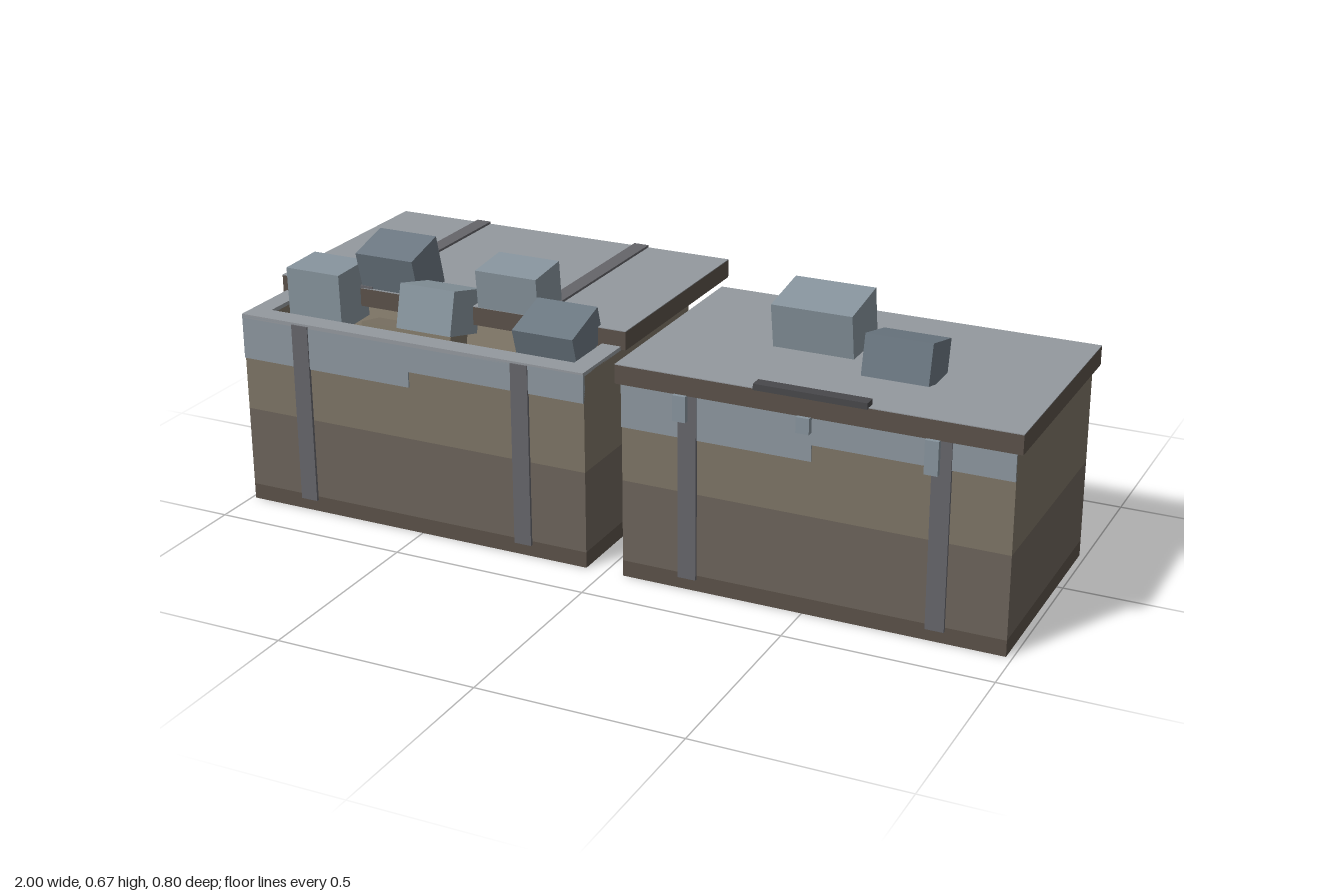
import * as THREE from 'three';

const mat = (color) => new THREE.MeshStandardMaterial({ color });
const M = {
  base: mat(0x5a5148), mid: mat(0x6c635a), tan: mat(0x7d7465), lid: mat(0x5a5149),
  frost: mat(0x94999e), plate: mat(0x8c969e), strap: mat(0x65656a), handle: mat(0x48484b),
  light: mat(0x87949d), dark: mat(0x6c7882),
};

// Box given by its limits on each axis
function box(parent, name, material, [x0, x1], [y0, y1], [z0, z1]) {
  const m = new THREE.Mesh(new THREE.BoxGeometry(x1 - x0, y1 - y0, z1 - z0), material);
  m.name = name;
  m.position.set((x0 + x1) / 2, (y0 + y1) / 2, (z0 + z1) / 2);
  parent.add(m);
  return m;
}

// Loose block tilted about the x axis: x limits, centre y and z, height, depth, tilt
function block(parent, name, material, [x0, x1], y, z, h, d, tilt) {
  const m = box(parent, name, material, [x0, x1], [y - h / 2, y + h / 2], [z - d / 2, z + d / 2]);
  m.rotation.x = tilt;
}

// Four walls around an open top
function walls(parent, name, material, [x0, x1], [z0, z1], t, y0, y1) {
  const rect = (p, a, b, c, d) => p.moveTo(a, c).lineTo(b, c).lineTo(b, d).lineTo(a, d).closePath();
  const shape = rect(new THREE.Shape(), x0, x1, -z1, -z0);
  shape.holes.push(rect(new THREE.Path(), x0 + t, x1 - t, -z1 + t, -z0 - t));
  const geo = new THREE.ExtrudeGeometry(shape, { depth: y1 - y0, bevelEnabled: false });
  geo.rotateX(-Math.PI / 2).translate(0, y0, 0);
  const m = new THREE.Mesh(geo, material);
  m.name = name;
  parent.add(m);
}

// Banded crate body with stepped frost and two front straps
function crate(name, x0, x1, top) {
  const g = new THREE.Group();
  g.name = name;
  const z = [-0.187, 0.38];
  box(g, 'baseBand', M.base, [x0, x1], [0, 0.04], z);
  box(g, 'lowerBand', M.mid, [x0, x1], [0.04, 0.245], z);
  box(g, 'upperBand', M.tan, [x0, x1], [0.245, top], z);
  const mid = (x0 + x1) / 2;
  box(g, 'frostDeep', M.plate, [x0, mid], [0.38, 0.49], [0.375, 0.384]);
  box(g, 'frostShallow', M.plate, [mid, x1], [0.42, 0.49], [0.375, 0.384]);
  for (const s of [0.145, 0.75])
    box(g, 'frontStrap', M.strap, [x0 + s, x0 + s + 0.045], [0.03, 0.49], [0.375, 0.387]);
  return g;
}

// Wooden lid with a frosted top
function lid(parent, x, z) {
  box(parent, 'lid', M.lid, x, [0.487, 0.533], z);
  box(parent, 'lidFrost', M.frost, x, [0.533, 0.535], z);
}

export function createModel() {
  const model = new THREE.Group();
  model.name = 'frostedCrates';

  // Open crate, lid pushed back
  const open = crate('openCrate', -0.99, -0.05, 0.45);
  walls(open, 'crateWalls', M.tan, [-0.99, -0.05], [-0.187, 0.38], 0.05, 0.45, 0.487);
  lid(open, [-1, -0.037], [-0.4, 0.19]);
  for (const x of [-0.775, -0.305])
    box(open, 'lidStrap', M.strap, [x, x + 0.04], [0.53, 0.541], [-0.4, 0.19]);
  // Frosted rim on the uncovered part
  box(open, 'rimFront', M.frost, [-0.99, -0.05], [0.485, 0.495], [0.33, 0.384]);
  for (const x of [-0.99, -0.1])
    box(open, 'rimSide', M.frost, [x, x + 0.05], [0.485, 0.495], [0.19, 0.33]);
  // Contents
  block(open, 'iceBlock', M.light, [-0.92, -0.77], 0.523, 0.22, 0.146, 0.125, 0.03);
  block(open, 'iceBlock', M.dark, [-0.765, -0.605], 0.579, 0.135, 0.14, 0.122, 0.26);
  block(open, 'iceBlock', M.light, [-0.6, -0.45], 0.529, 0.224, 0.11, 0.13, -0.25);
  block(open, 'iceBlock', M.light, [-0.435, -0.27], 0.567, 0.133, 0.14, 0.12, 0.1);
  block(open, 'iceBlock', M.dark, [-0.27, -0.11], 0.522, 0.242, 0.09, 0.136, 0.3);
  block(open, 'woodBlock', M.tan, [-0.7, -0.45], 0.45, 0.265, 0.07, 0.08, -0.2);

  // Closed crate
  const closed = crate('closedCrate', 0.047, 0.985, 0.49);
  lid(closed, [0.035, 1], [-0.2, 0.39]);
  box(closed, 'handle', M.handle, [0.38, 0.65], [0.533, 0.548], [0.367, 0.398]);
  // Icicles under the lid edge
  for (const [x, y] of [[0.2, 0.425], [0.5, 0.45], [0.8, 0.407]])
    box(closed, 'icicle', M.light, [x - 0.016, x + 0.016], [y, 0.488], [0.384, 0.4]);
  block(closed, 'iceBlock', M.light, [0.315, 0.515], 0.595, 0.0655, 0.122, 0.15, 0.16);
  block(closed, 'iceBlock', M.dark, [0.575, 0.735], 0.579, 0.173, 0.097, 0.125, -0.225);

  model.add(open, closed);
  return model;
}
